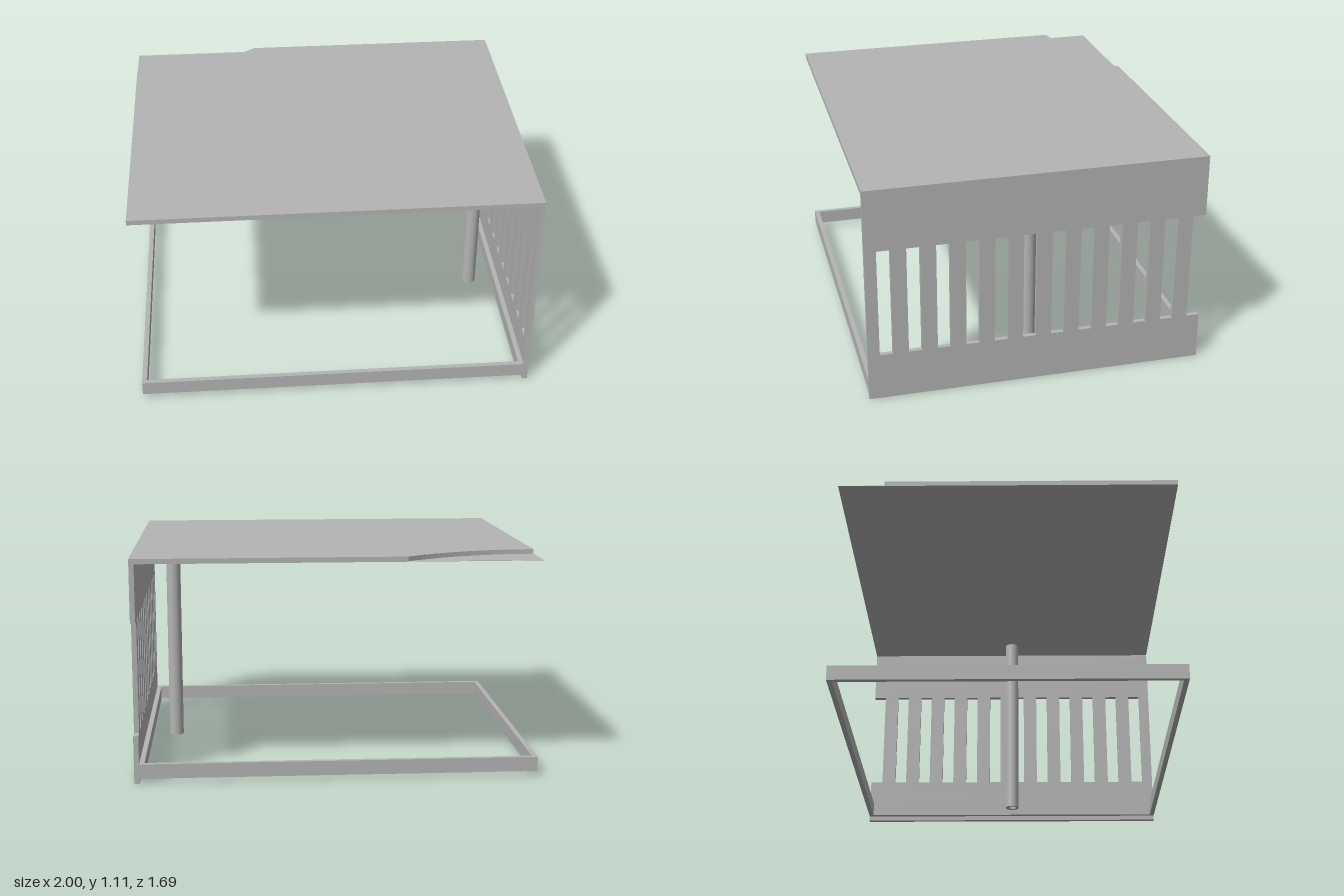
import * as THREE from 'three';

const D = 0.847;   // half depth
const T = 0.025;   // sheet thickness

export function createModel() {
  const model = new THREE.Group();
  model.name = 'slottedShelter';
  const grey = new THREE.MeshStandardMaterial({ color: 0xb4b4b4 });
  grey.name = 'plain grey';

  const add = (name, geometry, x = 0, y = 0, z = 0) => {
    const mesh = new THREE.Mesh(geometry, grey);
    mesh.name = name;
    mesh.position.set(x, y, z);
    model.add(mesh);
    return mesh;
  };
  const extrude = (shape, depth) =>
    new THREE.ExtrudeGeometry(shape, { depth, bevelEnabled: false, curveSegments: 32 });
  const polygon = (pts) => new THREE.Shape(pts.map(([x, y]) => new THREE.Vector2(x, y)));

  // Roof sheet with a round bite taken from its back corner (shape y is -z)
  const r = 1.055, cy = 0.615 + r;
  const start = Math.atan2(D - cy, 0.66);
  const roof = polygon([[-1, -D], [1, -D], [1, D], [-0.34, D]]);
  roof.absarc(-1, cy, r, start, -Math.PI / 2, true);
  roof.closePath();
  add('roof', extrude(roof, T).rotateX(-Math.PI / 2), 0, 1.11 - T, 0);

  // Very thin floor left in the bite
  const corner = new THREE.Shape();
  corner.moveTo(-1, D);
  corner.lineTo(-0.34, D);
  corner.absarc(-1, cy, r, start, -Math.PI / 2, true);
  corner.closePath();
  add('roofCornerRecess', extrude(corner, 0.002).rotateX(-Math.PI / 2), 0, 1.11 - T, 0);

  // Slotted side wall (shape x is -z); the rearmost slot is open at the edge
  const y0 = 0.24, y1 = 0.797, pitch = 0.1427, slot = 0.065, first = -0.789;
  const open = first + 11 * pitch;
  const wall = polygon([[-D, 0], [D, 0], [D, y0], [open, y0], [open, y1],
    [D, y1], [D, 1.11 - T], [-D, 1.11 - T]]);
  for (let i = 0; i < 11; i++) {
    const a = first + i * pitch;
    wall.holes.push(polygon([[a, y0], [a, y1], [a + slot, y1], [a + slot, y0]]));
  }
  add('slottedWall', extrude(wall, T).rotateY(Math.PI / 2), 1 - T, 0, 0);

  // Base frame, a rectangular ring
  const xr = 1 - T;
  const frame = polygon([[-1, -D], [xr, -D], [xr, D], [-1, D]]);
  frame.holes.push(polygon([[-1 + T, -D + T], [-1 + T, D - T], [xr - T, D - T], [xr - T, -D + T]]));
  add('baseFrame', extrude(frame, 0.073).rotateX(-Math.PI / 2), 0, 0.025, 0);

  // Hollow post; each ring pair is doubled so the rims stay sharp
  const ro = 0.0375, ri = 0.022, h = 1.05;
  const tube = new THREE.Shape();
  tube.absarc(0, 0, ro, 0, Math.PI * 2);
  const bore = new THREE.Path();
  bore.absarc(0, 0, ri, 0, Math.PI * 2, true);
  tube.holes.push(bore);
  add('hollowPost', extrude(tube, h).rotateX(-Math.PI / 2), 0.825, 0.025, 0.005);

  return model;
}
